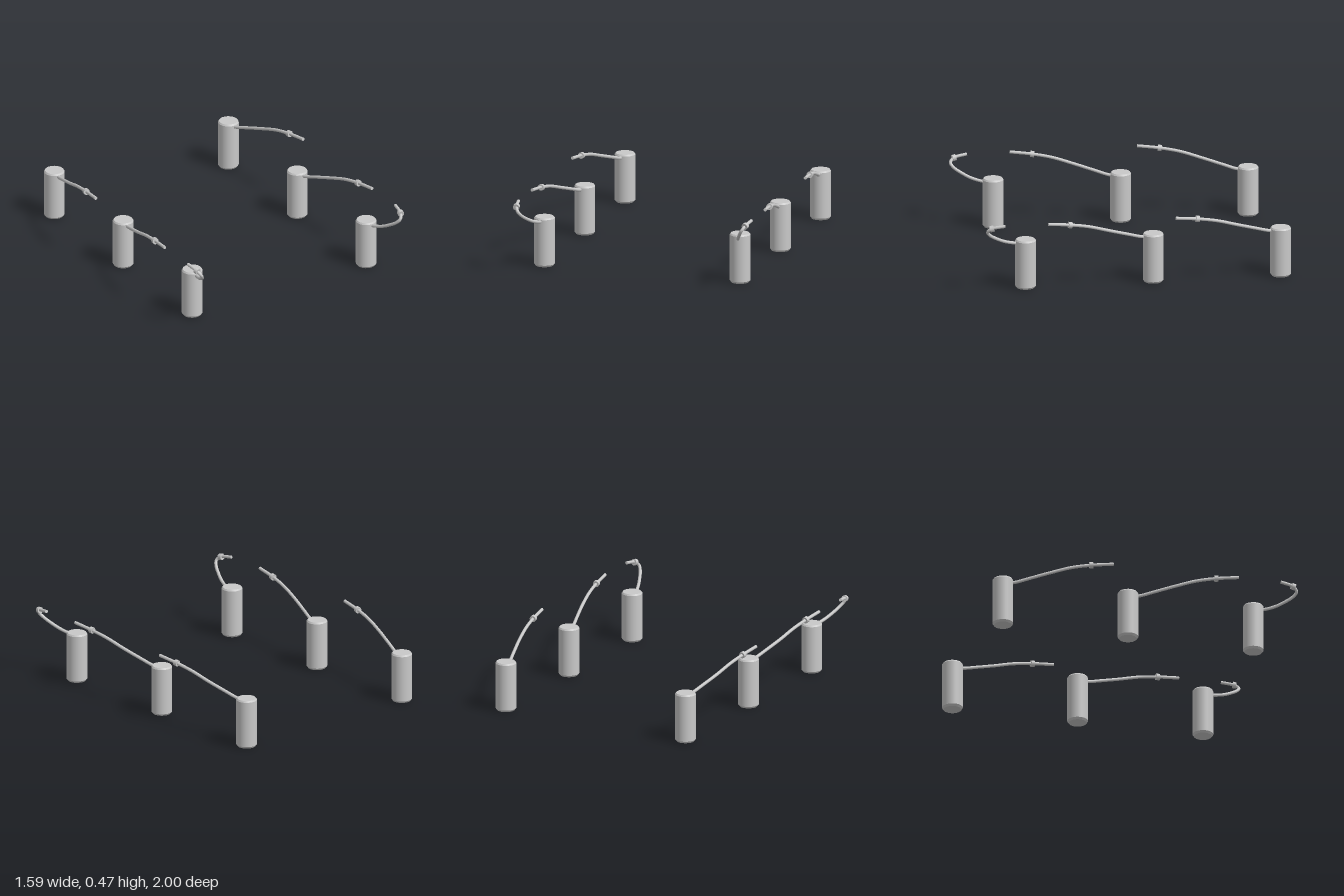
import * as THREE from 'three';

const grey = new THREE.MeshStandardMaterial({ color: 0xc8c8c8 });
grey.name = 'lightGrey';

const X = 0.66;
const v = (x, y, z) => new THREE.Vector3(x, y, z);

function mesh(geometry, name) {
  const m = new THREE.Mesh(geometry, grey);
  m.name = name;
  return m;
}

// Canister: straight wall with a chamfer at both rims; rings doubled for crisp edges
function canister() {
  const p = [[0, 0], [0.057, 0], [0.057, 0], [0.067, 0.013], [0.067, 0.013],
    [0.067, 0.315], [0.067, 0.315], [0.06, 0.325], [0.06, 0.325], [0, 0.325]];
  const group = new THREE.Group();
  group.name = 'canister';
  const names = ['base', 'lowerChamfer', 'wall', 'upperChamfer', 'lid'];
  names.forEach((name, i) => {
    const pair = [p[i * 2], p[i * 2 + 1]].map(([r, y]) => new THREE.Vector2(r, y));
    group.add(mesh(new THREE.LatheGeometry(pair, 32), name));
  });
  return group;
}

// Hose with closed ends and a collar near its tip
function hose(points, collarPos) {
  const group = new THREE.Group();
  group.name = 'hose';
  const curve = new THREE.CatmullRomCurve3(points, false, 'centripetal');
  group.add(mesh(new THREE.TubeGeometry(curve, 40, 0.0105, 10), 'hosePipe'));

  const up = v(0, 1, 0);
  const tip = points[points.length - 1];
  const cap = mesh(new THREE.CylinderGeometry(0.0105, 0.0105, 0.002, 10), 'hoseTip');
  cap.position.copy(tip);
  cap.quaternion.setFromUnitVectors(up, curve.getTangent(1));
  group.add(cap);

  const collar = mesh(new THREE.CylinderGeometry(0.021, 0.021, 0.024, 12), 'collar');
  collar.position.copy(collarPos);
  collar.quaternion.setFromUnitVectors(up, tip.clone().sub(collarPos).normalize());
  group.add(collar);
  return group;
}

// Long forward hose, relative to the canister axis
function longHose() {
  const collar = v(0.11, 0.4385, 0.557);
  return hose([v(0.002, 0.303, 0.03), v(0.01, 0.305, 0.07), v(0.036, 0.335, 0.17),
    v(0.067, 0.374, 0.295), v(0.092, 0.415, 0.43), collar, v(0.126, 0.455, 0.70)], collar);
}

// Short hose that hooks back at the front
function hookedHose() {
  const collar = v(0.112, 0.4385, 0.236);
  return hose([v(0, 0.3, 0.03), v(0.01, 0.304, 0.07), v(0.03, 0.322, 0.135),
    v(0.053, 0.35, 0.193), v(0.077, 0.384, 0.244), v(0.095, 0.412, 0.262),
    collar, v(0.126, 0.455, 0.152)], collar);
}

export function createModel() {
  const model = new THREE.Group();
  model.name = 'canisterSet';
  const rows = [['front', 0.725, hookedHose], ['middle', -0.104, longHose], ['rear', -0.932, longHose]];
  for (const side of [1, -1]) {
    for (const [row, z, makeHose] of rows) {
      const unit = new THREE.Group();
      unit.name = row + (side > 0 ? 'LeftUnit' : 'RightUnit');
      unit.add(canister(), makeHose());
      unit.position.set(side * X, 0, z);
      unit.scale.x = side;
      model.add(unit);
    }
  }
  return model;
}
